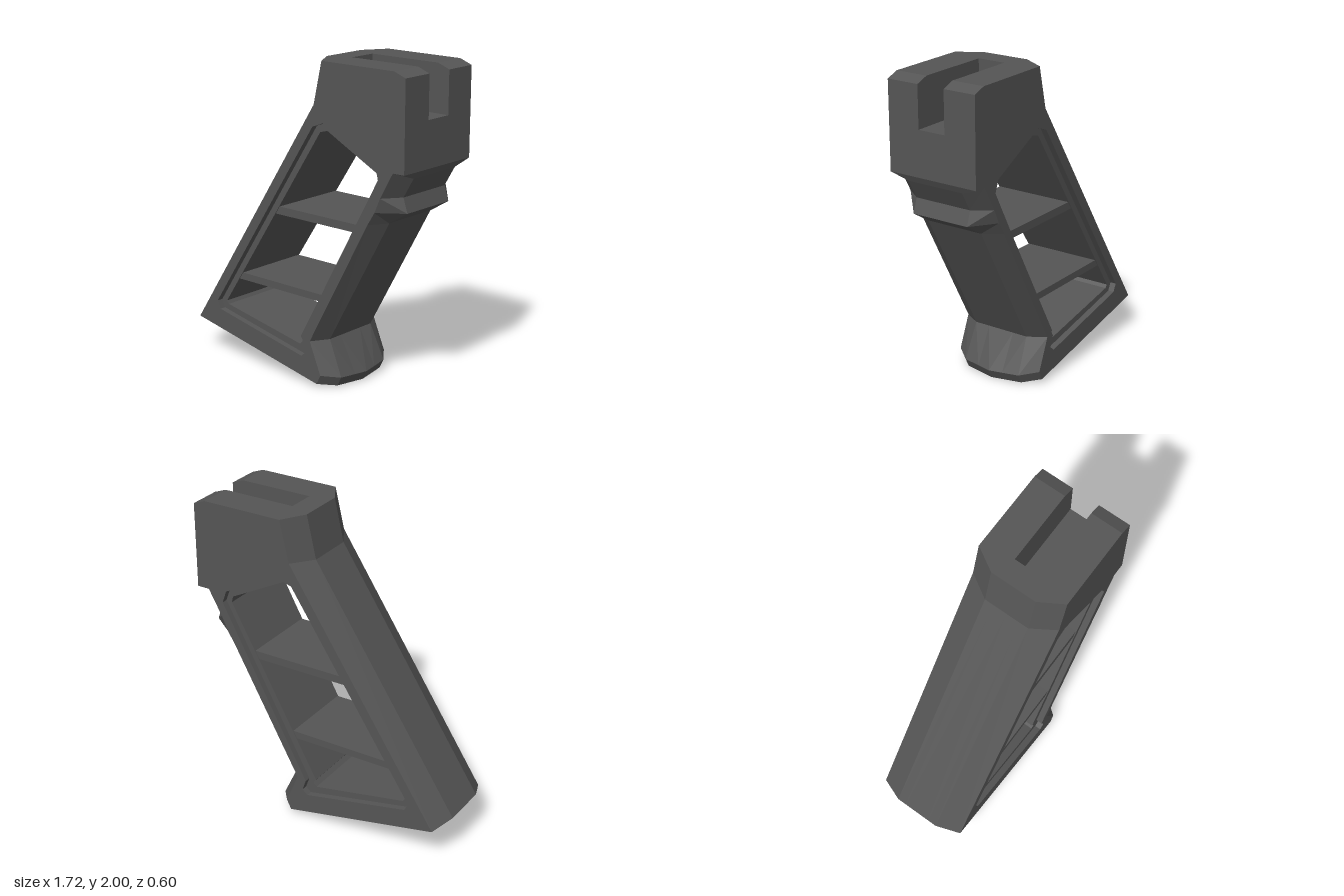
import * as THREE from 'three';

const HALF = 0.3, SLOT = 0.09, LEDGE = 0.26;

// Outer profile, counter-clockwise: side-face x, y, then chamfered x, y and its z
const profile = [
  [-0.80, 0.23, -0.86, 0.265, 0.15], // heel
  [0.21, 0.03, 0.29, 0.012, 0.20],   // lip bottom
  [0.24, 0.09, 0.32, 0.07, 0.20],    // lip top
  [0.155, 0.29, 0.22, 0.29, 0.19],   // waist
  [0.60, 1.10, 0.67, 1.10, 0.19],    // finger ridge
  [0.65, 1.18, 0.80, 1.18, 0.19],
  [0.69, 1.27, 0.77, 1.27, 0.19],
  [0.78, 1.43, 0.84, 1.39, 0.19],    // under the head
  [0.86, 1.43, 0.86, 1.43, 0.19],
  [0.86, 1.97, 0.86, 1.97, 0.19],    // head top
  [0.78, 2.00, 0.78, 2.00, 0.19],
  [0.25, 2.00, 0.16, 2.00, 0.15],
  [0.19, 1.74, 0.10, 1.73, 0.15],
];

// Window outlines, clockwise so that their walls face inwards
const recess = [[0.18, 1.61], [0.26, 1.64], [0.65, 1.445], [0.68, 1.365], [0.095, 0.28],
  [0.12, 0.21], [0.085, 0.18], [-0.61, 0.32], [-0.635, 0.37]];
const opening = [[0.205, 1.575], [0.26, 1.59], [0.63, 1.40], [0.64, 1.36], [0.045, 0.285],
  [0.065, 0.26], [0.04, 0.235], [-0.575, 0.35], [-0.59, 0.37]];

// Slot in the head, seen from the side
const slot = [[0.86, 1.71], [0.86, 1.97], [0.78, 2], [0.3, 2], [0.3, 1.9], [0.22, 1.71]];

const atZ = (points, z) => points.map(([x, y]) => [x, y, z]);

// Skin between matching closed loops, ordered from low z to high z
function loft(loops) {
  const pos = [];
  for (let k = 0; k < loops.length - 1; k++) {
    const lo = loops[k], hi = loops[k + 1], n = lo.length;
    for (let i = 0; i < n; i++) {
      const j = (i + 1) % n;
      const a = lo[i], b = lo[j], c = hi[j], d = hi[i];
      pos.push(...a, ...b, ...c, ...a, ...c, ...d);
    }
  }
  const g = new THREE.BufferGeometry();
  g.setAttribute('position', new THREE.Float32BufferAttribute(pos, 3));
  g.computeVertexNormals();
  return g;
}

// Flat plate at height z, optionally with a hole
function plate(points, z, hole) {
  const toVec = (list) => list.map(([x, y]) => new THREE.Vector2(x, y));
  const shape = new THREE.Shape(toVec(points));
  if (hole) shape.holes.push(new THREE.Path(toVec(hole)));
  return new THREE.ShapeGeometry(shape).toNonIndexed().translate(0, 0, z);
}

// Reverse the winding of a non-indexed geometry
function flip(geometry) {
  const p = geometry.attributes.position;
  const v = new THREE.Vector3(), w = new THREE.Vector3();
  for (let i = 0; i < p.count; i += 3) {
    v.fromBufferAttribute(p, i + 1);
    w.fromBufferAttribute(p, i + 2);
    p.setXYZ(i + 1, w.x, w.y, w.z);
    p.setXYZ(i + 2, v.x, v.y, v.z);
  }
  geometry.computeVertexNormals();
  return geometry;
}

const mirrorZ = (geometry) => flip(geometry.clone().scale(1, 1, -1));

export function createModel() {
  const model = new THREE.Group();
  model.name = 'grip';
  const polymer = new THREE.MeshStandardMaterial({ color: 0x555555 });
  polymer.name = 'dark grey polymer';
  polymer.flatShading = true;

  const add = (name, geometry) => {
    const mesh = new THREE.Mesh(geometry, polymer);
    mesh.name = name;
    model.add(mesh);
  };
  const addPair = (name, geometry) => {
    add(name + 'Left', geometry);
    add(name + 'Right', mirrorZ(geometry));
  };

  // Cross-section loops; the lip bulges forward towards the middle
  const face = profile.map(([x, y]) => [x, y, HALF]);
  const chamfer = profile.map(([, , x, y, z]) => [x, y, z]);
  const inner = (z) => chamfer.map(([x, y], i) => {
    const bulge = i === 1 || i === 2 ? 1 - z / 0.2 : 0;
    return [x + 0.03 * bulge, y - 0.009 * bulge, z];
  });
  // Middle section with the slot cut out of the head
  const slotted = (z) => {
    const loop = inner(z);
    const cut = atZ([slot[0], slot[5], slot[4], slot[3]], z);
    return [...loop.slice(0, 9), ...cut, ...loop.slice(11)];
  };

  addPair('outerShell', loft([inner(SLOT), chamfer, face]));
  addPair('middleShell', loft([slotted(0), slotted(SLOT)]));
  addPair('sideFace', plate(face, HALF, recess));
  addPair('slotWall', flip(plate(slot, SLOT)));

  // Window walls with a stepped rim
  addPair('windowLining', loft([
    atZ(opening, 0), atZ(opening, LEDGE), atZ(recess, LEDGE), atZ(recess, HALF),
  ]));

  // Cross bars inside the window
  for (const [name, x0, x1, y0, y1] of [
    ['upperCrossBar', -0.19, 0.51, 1.02, 1.07],
    ['lowerCrossBar', -0.51, 0.23, 0.54, 0.585],
  ]) {
    const bar = new THREE.BoxGeometry(x1 - x0, y1 - y0, 2 * LEDGE - 0.01);
    add(name, bar.translate((x0 + x1) / 2, (y0 + y1) / 2, 0));
  }
  return model;
}
